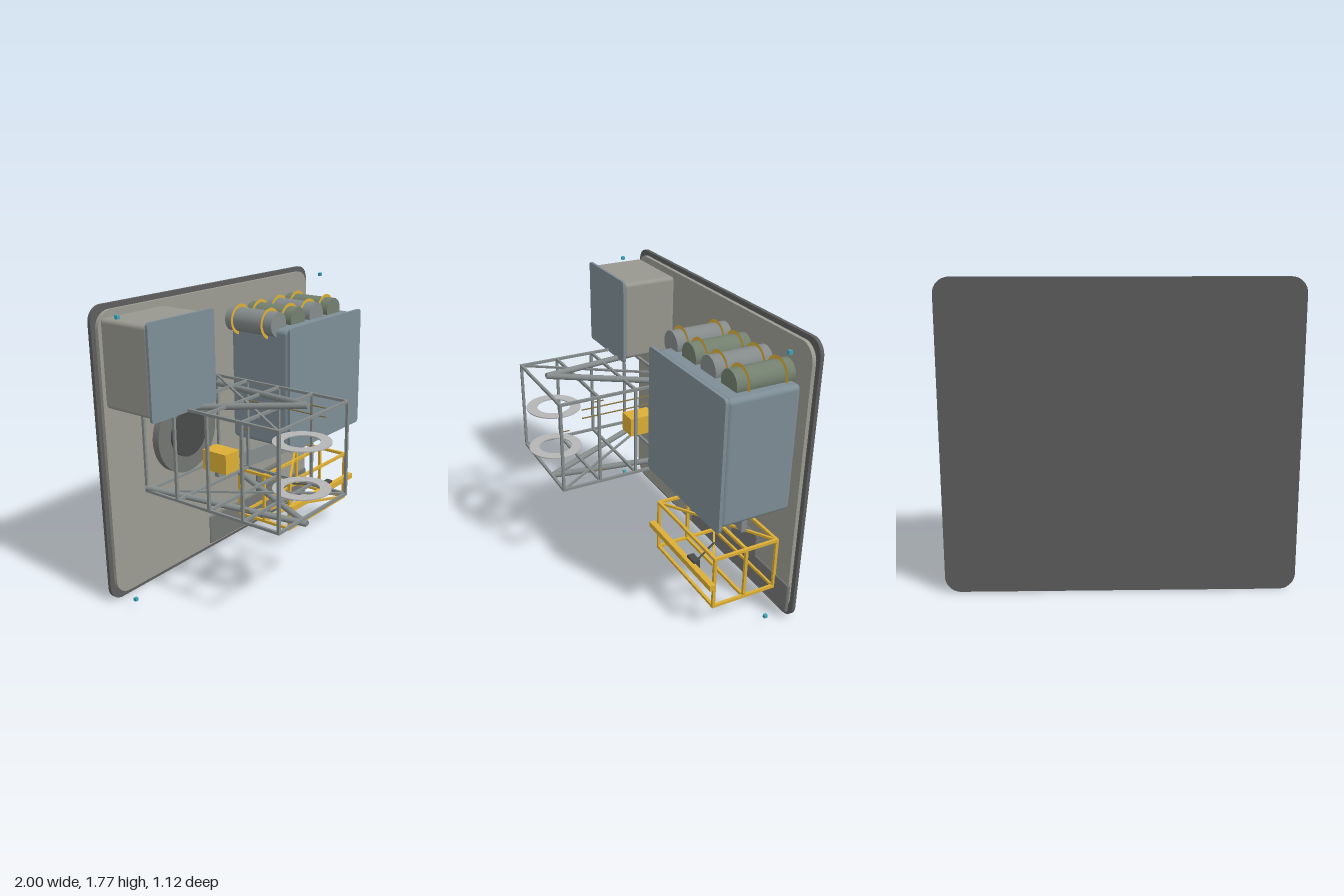
import * as THREE from 'three';
import { RoundedBoxGeometry } from 'three/addons/geometries/RoundedBoxGeometry.js';

const mat = (color) => new THREE.MeshStandardMaterial({ color });
const M = {
  dark: mat(0x5c5e5c), panel: mat(0x9c9b92), blue: mat(0x7d8d96), beige: mat(0x98978f),
  steel: mat(0x858b8b), green: mat(0x73806f), yellow: mat(0xdcae35), black: mat(0x484a4a),
  mid: mat(0x737573), light: mat(0xb5b5b5), brown: mat(0x8a7340), cyan: mat(0x39a7bd),
};
M.ring = M.yellow.clone();
M.ring.side = THREE.DoubleSide;

export function createModel() {
  const root = new THREE.Group();

  const add = (name, geometry, material, x = 0, y = 0, z = 0, parent = root) => {
    const mesh = new THREE.Mesh(geometry, material);
    mesh.name = name;
    mesh.position.set(x, y, z);
    parent.add(mesh);
    return mesh;
  };

  // Box given by its limits, optionally with rounded edges
  const block = (name, [x0, x1], [y0, y1], [z0, z1], material, r = 0, parent = root) => {
    const s = [x1 - x0, y1 - y0, z1 - z0];
    const g = r ? new RoundedBoxGeometry(...s, 3, r) : new THREE.BoxGeometry(...s);
    return add(name, g, material, (x0 + x1) / 2, (y0 + y1) / 2, (z0 + z1) / 2, parent);
  };

  // Upright plate with rounded corners
  const plate = (name, [x0, x1], [y0, y1], [z0, z1], r, material) => {
    const s = new THREE.Shape();
    s.absarc(x1 - r, y0 + r, r, -Math.PI / 2, 0);
    s.absarc(x1 - r, y1 - r, r, 0, Math.PI / 2);
    s.absarc(x0 + r, y1 - r, r, Math.PI / 2, Math.PI);
    s.absarc(x0 + r, y0 + r, r, Math.PI, Math.PI * 1.5);
    const g = new THREE.ExtrudeGeometry(s, { depth: z1 - z0, bevelEnabled: false, curveSegments: 8 });
    return add(name, g, material, 0, 0, z0);
  };

  // Bar between two points, round or square
  const bar = (name, a, b, t, material, parent = root, round = false) => {
    const p = new THREE.Vector3(...a), q = new THREE.Vector3(...b);
    const len = p.distanceTo(q);
    const g = round ? new THREE.CylinderGeometry(t / 2, t / 2, len, 14).rotateX(Math.PI / 2)
      : new THREE.BoxGeometry(t, t, len);
    const mesh = add(name, g, material, 0, 0, 0, parent);
    mesh.position.copy(p).add(q).multiplyScalar(0.5);
    mesh.lookAt(q);
    return mesh;
  };

  // Cage of posts, rails and crossbars with diagonal bracing
  const truss = (name, [x0, x1], [y0, y1], zs, t, material) => {
    const cage = new THREE.Group();
    cage.name = name;
    root.add(cage);
    const za = zs[0], zb = zs[zs.length - 1];
    for (const y of [y0, y1]) {
      for (const x of [x0, x1]) bar('rail', [x, y, za], [x, y, zb], t, material, cage);
      for (const z of zs) bar('crossbar', [x0 - t / 2, y, z], [x1 + t / 2, y, z], t, material, cage);
      const flip = y === y1;
      bar('diagonal', [flip ? x0 : x1, y, za], [flip ? x1 : x0, y, zb], t * 0.8, material, cage);
    }
    for (const x of [x0, x1]) {
      for (const z of zs) bar('post', [x, y0 - t / 2, z], [x, y1 + t / 2, z], t, material, cage);
    }
  };

  // Back wall
  plate('backPlate', [-1, 1], [0, 1.775], [-0.565, -0.543], 0.09, M.dark);
  plate('frontPanel', [-0.97, 0.97], [0.035, 1.745], [-0.543, -0.52], 0.1, M.panel);
  block('lowerStrip', [-0.135, 0.975], [0.045, 0.245], [-0.535, -0.51], M.mid, 0.01);

  // Two equipment cabinets with lids
  block('smallCabinet', [-0.955, -0.47], [1.205, 1.71], [-0.525, -0.165], M.beige, 0.025);
  plate('smallCabinetLid', [-0.97, -0.455], [1.19, 1.73], [-0.165, -0.148], 0.02, M.blue);
  block('largeCabinet', [0.13, 0.91], [0.74, 1.51], [-0.52, -0.065], M.blue, 0.03);
  plate('largeCabinetLid', [0.11, 0.93], [0.725, 1.53], [-0.057, -0.037], 0.025, M.blue);

  // Row of tanks held by straps
  for (let i = 0; i < 4; i++) {
    const x = 0.152 + i * 0.206, y = 1.535;
    const tank = new THREE.CylinderGeometry(0.078, 0.078, 0.37, 28).rotateX(Math.PI / 2);
    add('tank', tank, i % 2 ? M.green : M.steel, x, y, -0.34);
    for (const z of [-0.455, -0.22]) {
      add('tankStrap', new THREE.RingGeometry(0.074, 0.098, 36), M.ring, x, y, z);
    }
  }

  // Round hatch
  const disc = (r0, r1, h) => new THREE.CylinderGeometry(r0, r1, h, 40).rotateX(Math.PI / 2);
  add('hatchRim', disc(0.255, 0.255, 0.05), M.mid, -0.36, 0.912, -0.497);
  add('hatchCentre', disc(0.15, 0.15, 0.02), M.black, -0.36, 0.912, -0.464);

  // Large cage with converging struts
  truss('mainCage', [-0.69, -0.03], [0.627, 1.2], [0.47, 0.225, -0.02, -0.265, -0.51], 0.016, M.steel);
  for (const side of [-1, 1]) {
    for (const up of [-1, 1]) {
      bar('strut', [-0.36, 0.896 + up * 0.352, 0.42],
        [-0.36 + side * 0.33, 0.896 + up * 0.25, -0.515], 0.038, M.steel, root, true);
      bar('pin', [-0.36 + side * 0.29, up > 0 ? 1.155 : 0.68, 0.175],
        [-0.36 + side * 0.29, up > 0 ? 1.155 : 0.68, 0.24], 0.006, M.brown);
    }
  }
  for (const y of [1.08, 1.135]) bar('cable', [-0.04, y, 0.33], [-0.04, y, -0.32], 0.006, M.brown);

  // Horizontal rings at the cage mouth
  const ringShape = new THREE.Shape().absarc(0, 0, 0.168, 0, Math.PI * 2);
  ringShape.holes.push(new THREE.Path().absarc(0, 0, 0.103, 0, Math.PI * 2, true));
  const ringGeo = new THREE.ExtrudeGeometry(ringShape, { depth: 0.007, bevelEnabled: false, curveSegments: 24 });
  ringGeo.rotateX(-Math.PI / 2);
  for (const y of [0.75, 1.03]) add('guideRing', ringGeo, M.light, -0.36, y, 0.387);

  // Yellow instrument and slanted beam
  block('instrument', [-0.42, -0.295], [0.73, 0.855], [-0.3, -0.12], M.yellow);
  add('slantedBeam', new THREE.BoxGeometry(0.9, 0.108, 0.035), M.steel, 0.308, 0.604, -0.385)
    .rotation.y = -0.125;

  // Yellow cage with bar and latch
  truss('lowerCage', [0.173, 0.842], [0.16, 0.492], [-0.085, -0.295, -0.505], 0.018, M.yellow);
  block('crossHandle', [0.137, 0.878], [0.306, 0.342], [-0.072, -0.036], M.yellow);
  block('latch', [0.575, 0.652], [0.292, 0.358], [-0.104, -0.06], M.black);
  bar('latchRod', [0.613, 0.325, -0.1], [0.5, 0.325, -0.295], 0.012, M.black, root, true);
  block('mountPlate', [0.37, 0.642], [0.245, 0.4], [-0.53, -0.503], M.mid, 0.012);

  // Corner markers
  for (const x of [-0.95, 0.95]) {
    for (const y of [0.053, 1.73]) add('marker', new THREE.BoxGeometry(0.02, 0.02, 0.02), M.cyan, x, y, -0.387);
  }
  return root;
}
